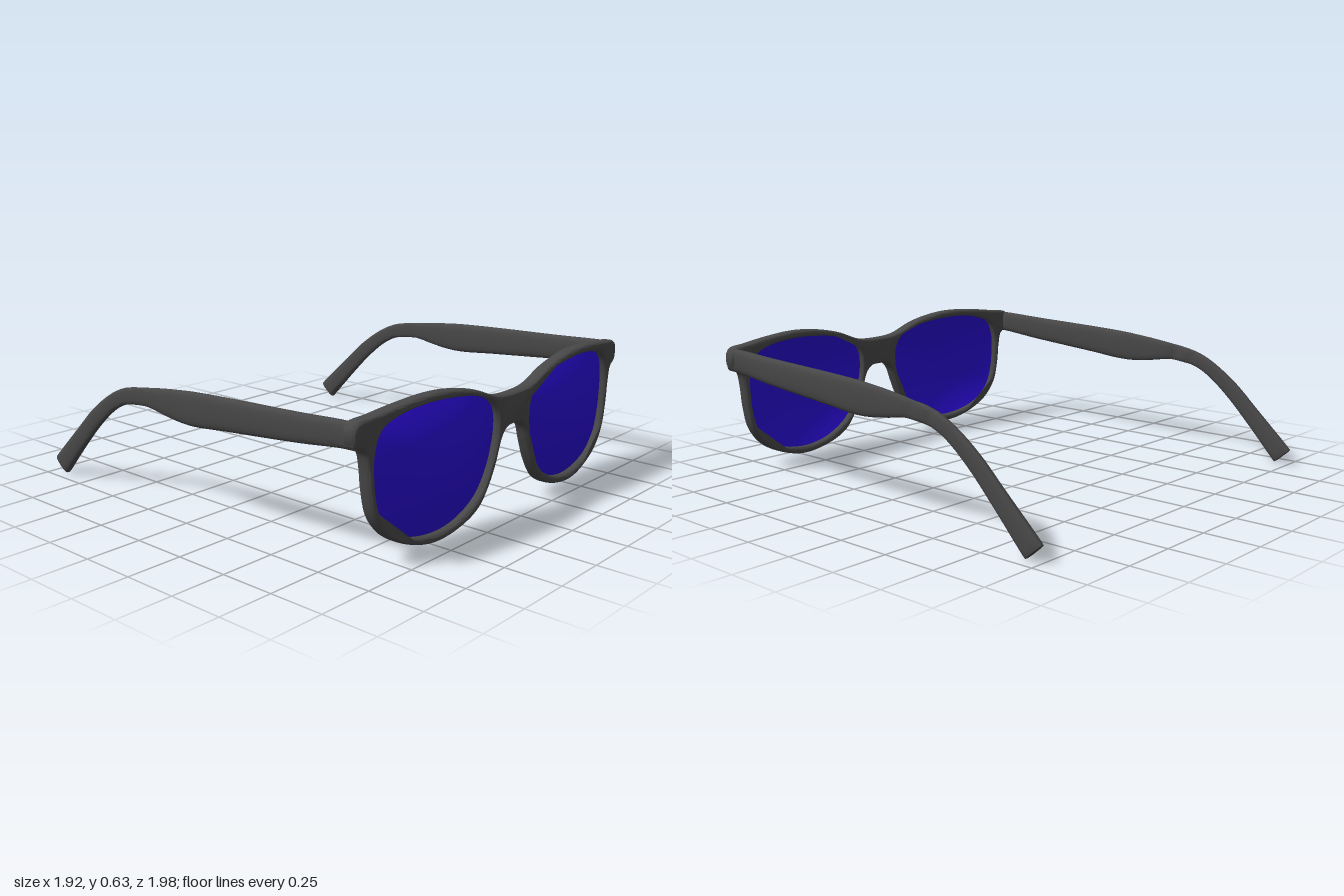
import * as THREE from 'three';
import { toCreasedNormals } from 'three/addons/utils/BufferGeometryUtils.js';

const frameMat = new THREE.MeshStandardMaterial({ color: 0x484848 });
const lensMat = new THREE.MeshStandardMaterial({ color: 0x2a0cd8, side: THREE.DoubleSide });

// Centre of the frame's depth, swept back towards the temples
const wrap = x => 0.922 - 0.06 * (x / 0.94) ** 2;

// Half of the frame outline, from the top of the bridge around to its underside
const outline = [[0, .545], [.124, .554], [.27, .605], [.42, .634], [.55, .642], [.71, .632], [.85, .615],
  [.935, .603], [.955, .57], [.945, .51], [.9, .485], [.883, .42], [.872, .32], [.845, .21], [.78, .125],
  [.68, .066], [.53, .027], [.37, .043], [.24, .097], [.165, .19], [.115, .3], [.085, .375], [.05, .405], [0, .41]];

// Eye opening, counter-clockwise seen from the front
const opening = [[.115, .42], [.13, .33], [.165, .24], [.23, .15], [.345, .085], [.47, .06], [.6, .07],
  [.72, .11], [.8, .18], [.835, .265], [.85, .37], [.848, .47], [.815, .55], [.73, .588], [.58, .607],
  [.42, .602], [.27, .58], [.165, .54], [.125, .49]];

const mirror = pts => pts.map(([x, y]) => [-x, y]).reverse();

function smoothLoop(pts, n) {
  const curve = new THREE.CatmullRomCurve3(pts.map(([x, y]) => new THREE.Vector3(x, y, 0)), true);
  return curve.getSpacedPoints(n).slice(0, n).map(p => new THREE.Vector2(p.x, p.y));
}

function buildGeometry(positions, index) {
  const g = new THREE.BufferGeometry();
  g.setAttribute('position', new THREE.Float32BufferAttribute(positions, 3));
  g.setIndex(index);
  g.computeVertexNormals();
  return g;
}

// Rounded plate with two openings, bent along the wrap curve
function frontFrame() {
  const shape = new THREE.Shape(smoothLoop([...outline, ...mirror(outline.slice(1, -1))], 260));
  for (const pts of [opening, mirror(opening)]) shape.holes.push(new THREE.Path(smoothLoop(pts, 100)));
  const g = new THREE.ExtrudeGeometry(shape, {
    depth: 0.026, bevelEnabled: true, bevelThickness: 0.02, bevelSize: 0.013, bevelOffset: -0.013, bevelSegments: 4,
  });
  const p = g.attributes.position;
  for (let i = 0; i < p.count; i++) p.setZ(i, p.getZ(i) - 0.013 + wrap(p.getX(i)));
  return toCreasedNormals(g, 0.9);
}

// Domed sheet made of rings shrinking from the opening to its centre
function lens(pts) {
  const n = 80, rings = 14, edge = smoothLoop(pts, n);
  const cx = Math.sign(pts[0][0]) * 0.48, cy = 0.335, pos = [], idx = [];
  for (let r = 0; r <= rings; r++) {
    const t = r / rings;
    for (const e of edge) {
      const x = cx + (e.x - cx) * t * 1.015, y = cy + (e.y - cy) * t * 1.015;
      pos.push(x, y, wrap(x) - 0.004 + 0.082 * (1 - t * t));
    }
  }
  for (let r = 0; r < rings; r++) for (let j = 0; j < n; j++) {
    const a = r * n + j, b = r * n + (j + 1) % n;
    if (r > 0) idx.push(a, a + n, b);
    idx.push(b, a + n, b + n);
  }
  const g = buildGeometry(pos, idx);
  // The centre ring collapses to one point, so its normal is set directly
  for (let j = 0; j < n; j++) g.attributes.normal.setXYZ(j, 0, 0, 1);
  return g;
}

// Temple stations: top z, top y, bottom z, bottom y, centre x, half width
const stations = [[.88, .6, .88, .497, .93, .022], [.8, .6, .8, .492, .927, .021], [.6, .59, .6, .47, .931, .022],
  [.2, .575, .2, .435, .935, .022], [0, .565, 0, .417, .936, .021], [-.1, .556, -.1, .42, .936, .018],
  [-.2, .545, -.2, .433, .937, .016], [-.3, .531, -.29, .447, .938, .014], [-.4, .516, -.38, .441, .938, .014],
  [-.47, .498, -.45, .428, .938, .014], [-.56, .455, -.53, .388, .938, .015], [-.69, .364, -.64, .3, .938, .016],
  [-.8, .262, -.77, .17, .938, .018], [-.985, .09, -.908, .022, .937, .021], [-.998, .077, -.921, .009, .937, .019]];

function temple(side) {
  const track = (a, b, c) => new THREE.CatmullRomCurve3(
    stations.map(s => new THREE.Vector3(s[a], s[b], c === undefined ? 0 : s[c])));
  const top = track(0, 1), bottom = track(2, 3), width = track(4, 5);
  const n = 24, steps = 70, pos = [], idx = [];
  const round = v => Math.sign(v) * Math.abs(v) ** 0.7;
  for (let i = 0; i <= steps; i++) {
    const t = i / steps, T = top.getPoint(t), B = bottom.getPoint(t), W = width.getPoint(t);
    for (let j = 0; j < n; j++) {
      const a = j / n * Math.PI * 2, k = (1 + round(Math.sin(a))) / 2;
      pos.push(side * W.x + W.y * round(Math.cos(a)), B.y + (T.y - B.y) * k, B.x + (T.x - B.x) * k);
    }
  }
  for (let i = 0; i < steps; i++) for (let j = 0; j < n; j++) {
    const a = i * n + j, b = i * n + (j + 1) % n;
    idx.push(a, a + n, b, b, a + n, b + n);
  }
  // End caps
  const last = steps * n;
  for (let j = 1; j < n - 1; j++) idx.push(0, j, j + 1, last, last + j + 1, last + j);
  return toCreasedNormals(buildGeometry(pos, idx), 0.9);
}

export function createModel() {
  const model = new THREE.Group();
  model.name = 'sunglasses';
  const add = (name, geometry, material) => {
    const mesh = new THREE.Mesh(geometry, material);
    mesh.name = name;
    model.add(mesh);
  };
  add('frontFrame', frontFrame(), frameMat);
  add('leftLens', lens(opening), lensMat);
  add('rightLens', lens(mirror(opening)), lensMat);
  add('leftTemple', temple(1), frameMat);
  add('rightTemple', temple(-1), frameMat);
  return model;
}
